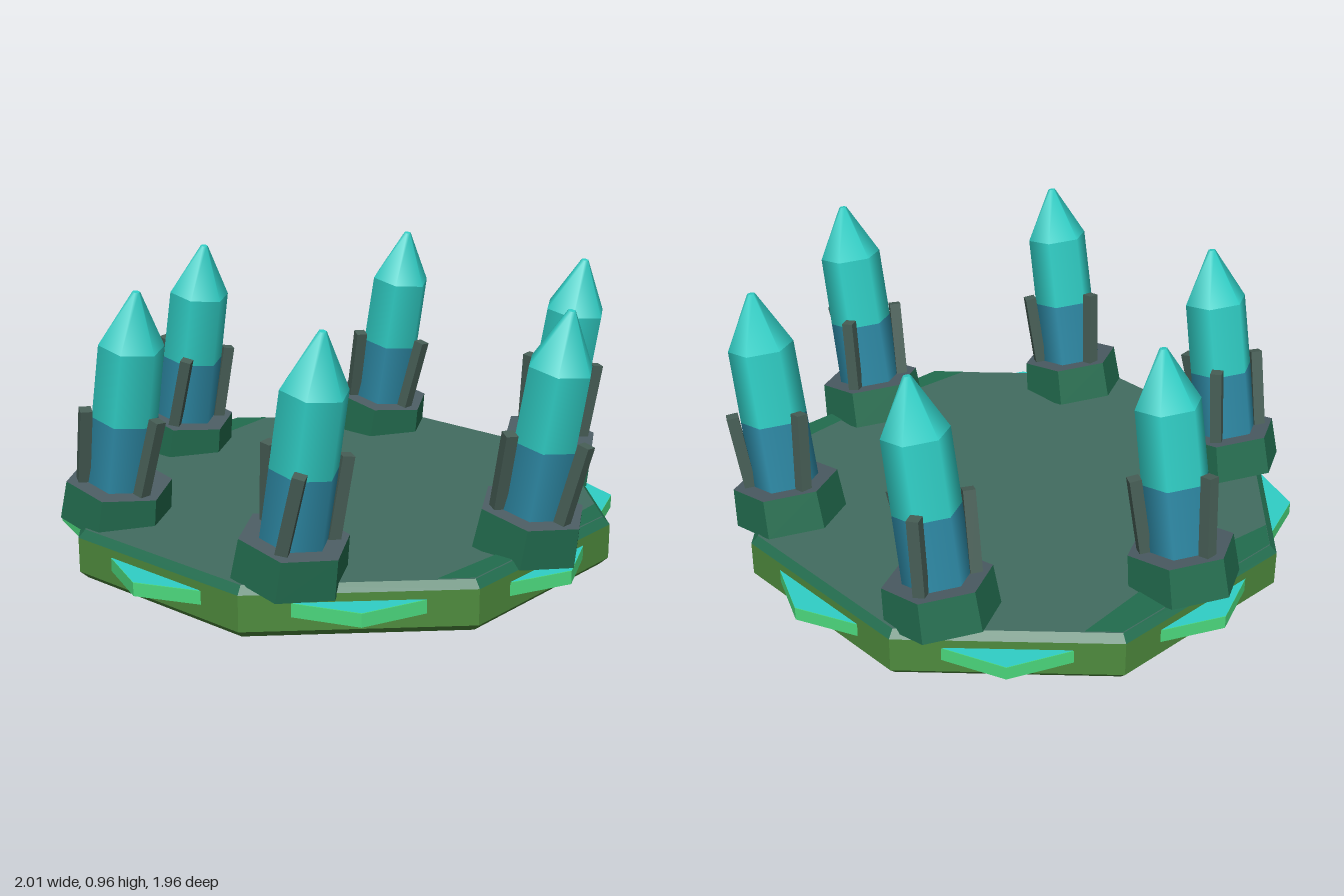
import * as THREE from 'three';

const mat = (name, color, flatShading = true) => {
  const m = new THREE.MeshStandardMaterial({ color, flatShading });
  m.name = name;
  return m;
};

export function createModel() {
  const olive = mat('olive', 0x4e8a3d);
  const deepGreen = mat('deep green', 0x226c4e);
  const slateGreen = mat('slate green', 0x426c60);
  const brightGreen = mat('bright green', 0x4cda7e);
  const cyan = mat('cyan', 0x30cfc6, false);
  const blue = mat('blue', 0x2e8aa6, false);
  const postGrey = mat('post grey', 0x475e56);
  const ledgeGrey = mat('ledge grey', 0x4c5d64);

  const model = new THREE.Group();
  model.name = 'crystalPlatform';
  const root = new THREE.Group();
  root.name = 'platform';
  root.position.x = -0.018;
  model.add(root);

  const add = (parent, name, geometry, material) => {
    const mesh = new THREE.Mesh(geometry, material);
    mesh.name = name;
    parent.add(mesh);
    return mesh;
  };
  const shapeOf = (pts) => new THREE.Shape(pts.map(([x, y]) => new THREE.Vector2(x, y)));
  const octagonLathe = (pts) => new THREE.LatheGeometry(
    pts.map(([r, y]) => new THREE.Vector2(r, y)), 8, Math.PI / 8);

  // Octagonal slab: body, chamfered rim and top face
  add(root, 'slabBody', octagonLathe([[0, 0], [0.935, 0], [0.962, 0.025], [0.962, 0.145]]), olive);
  add(root, 'slabRim', octagonLathe([[0.962, 0.145], [0.937, 0.17]]), deepGreen);
  add(root, 'slabTop', new THREE.CircleGeometry(0.937, 8, Math.PI / 8)
    .rotateX(-Math.PI / 2).translate(0, 0.17, 0), slateGreen);

  // Darker panels on the left and right of the top
  const panel = (name, side, innerX) => add(root, name, new THREE.ShapeGeometry(shapeOf([
    [side * 0.864, -0.358], [side * 0.864, 0.358], [side * 0.78, 0.442],
    [side * innerX, 0], [side * 0.78, -0.442],
  ])).rotateX(-Math.PI / 2).translate(0, 0.173, 0), deepGreen);
  panel('leftPanel', 1, 0.81);
  panel('rightPanel', -1, 0.735);

  // Triangular fins, one on each slab side
  const finShape = shapeOf([[0.87, -0.25], [0.98, 0], [0.87, 0.25]]);
  const finGeo = new THREE.ExtrudeGeometry(finShape, { depth: 0.045, bevelEnabled: false })
    .rotateX(-Math.PI / 2).translate(0, 0.07, 0);
  const finTopGeo = new THREE.ShapeGeometry(finShape)
    .rotateX(-Math.PI / 2).translate(0, 0.117, 0);
  for (let i = 0; i < 8; i++) {
    const fin = new THREE.Group();
    fin.name = 'fin';
    fin.rotation.y = i * Math.PI / 4;
    add(fin, 'finBody', finGeo, brightGreen);
    add(fin, 'finTop', finTopGeo, cyan);
    root.add(fin);
  }

  // Hexagonal sections of a pillar, with corners on the x axis
  const hex = (rTop, rBottom, y0, y1, open) => new THREE.CylinderGeometry(
    rTop, rBottom, y1 - y0, 6, 1, open, Math.PI / 6).translate(0, (y0 + y1) / 2, 0);
  const pedestalGeo = hex(0.18, 0.19, 0, 0.135, false);
  const lowerGeo = hex(0.112, 0.114, 0.12, 0.37, true);
  const upperGeo = hex(0.11, 0.112, 0.37, 0.625, true);
  const tipGeo = hex(0.013, 0.11, 0.625, 0.81, false);
  const postGeo = new THREE.BoxGeometry(0.04, 0.31, 0.04);

  // Six pillars in a ring, all leaning towards +x
  for (let i = 0; i < 6; i++) {
    const angle = i * Math.PI / 3;
    const lean = new THREE.Group();
    lean.name = 'pillar';
    lean.position.set(0.8 * Math.cos(angle), 0.16, -0.8 * Math.sin(angle));
    lean.rotation.z = -THREE.MathUtils.degToRad(10);
    root.add(lean);

    add(lean, 'pedestal', pedestalGeo, [deepGreen, ledgeGrey, deepGreen]);
    add(lean, 'crystalLower', lowerGeo, blue);
    add(lean, 'crystalUpper', upperGeo, cyan);
    add(lean, 'crystalTip', tipGeo, cyan);

    // Three slightly splayed posts around the crystal
    for (let k = 0; k < 3; k++) {
      const holder = new THREE.Group();
      holder.name = 'postHolder';
      holder.rotation.y = angle + k * Math.PI * 2 / 3;
      const post = add(holder, 'post', postGeo, postGrey);
      post.position.set(0.128, 0.25, 0);
      post.rotation.set(-0.09, 0, -0.06);
      lean.add(holder);
    }
  }
  return model;
}
